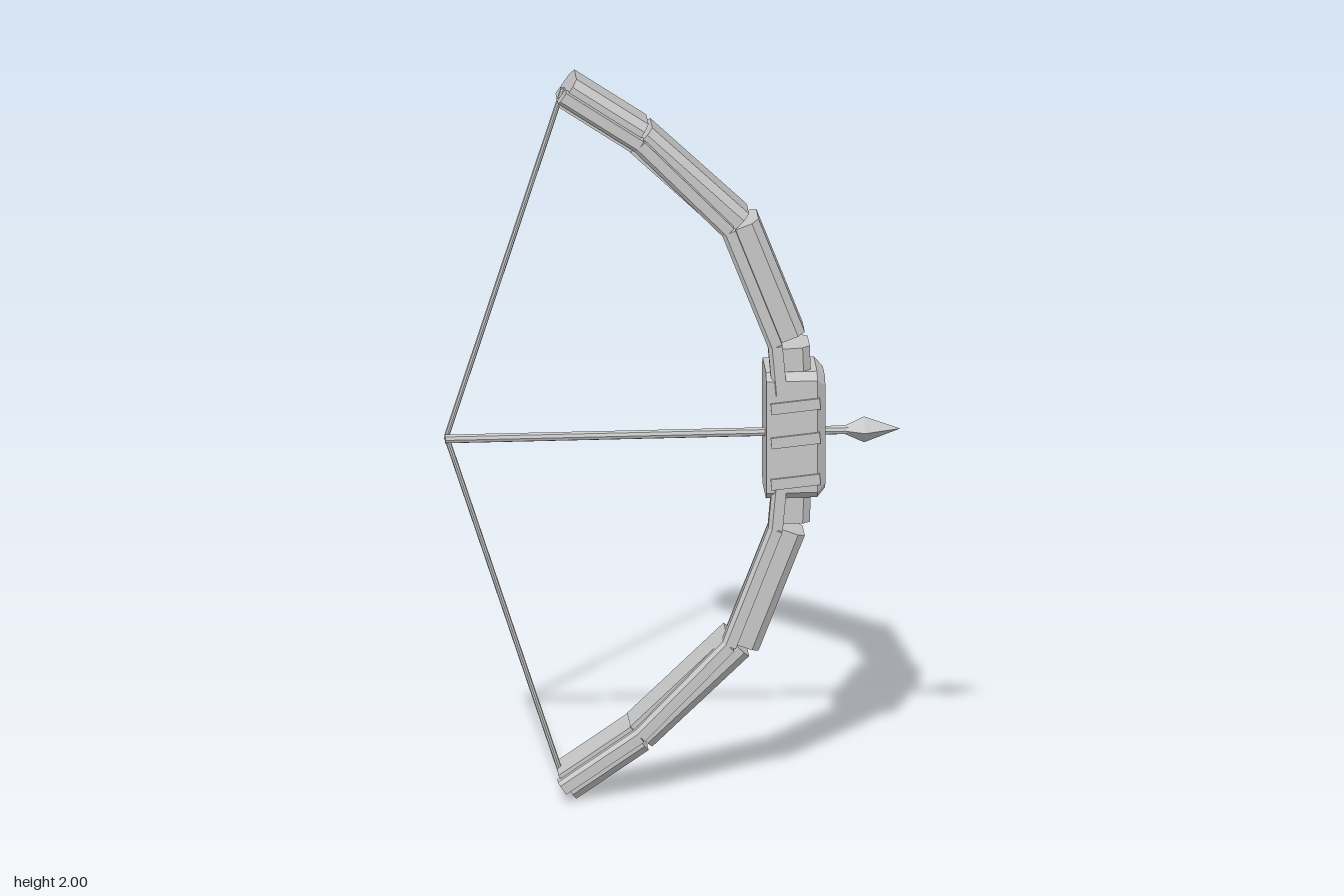
import * as THREE from 'three';
import { ConvexGeometry } from 'three/addons/geometries/ConvexGeometry.js';

const V = (x, y, z) => new THREE.Vector3(x, y, z);

export function createModel() {
  const group = new THREE.Group();
  group.name = 'bow';
  const grey = new THREE.MeshStandardMaterial({ color: 0xc8c8c8 });
  grey.name = 'grey';

  const add = (geometry, name) => {
    const mesh = new THREE.Mesh(geometry, grey);
    mesh.name = name;
    group.add(mesh);
    return mesh;
  };

  // Straight bar from a to b; section points are [inward offset, z]
  const bar = (a, b, section, side, name) => {
    const [dx, dy] = [b[0] - a[0], b[1] - a[1]];
    const len = Math.hypot(dx, dy);
    const points = [];
    for (const [x, y] of [a, b]) {
      for (const [s, z] of section) {
        points.push(V(x + s * dy / len, 1 + side * (y - s * dx / len - 1), z));
      }
    }
    return add(new ConvexGeometry(points), name);
  };

  // Round rod between two points
  const rod = (a, b, radius, name) => {
    const dir = b.clone().sub(a);
    const geo = new THREE.CylinderGeometry(radius, radius, dir.length(), 8).toNonIndexed();
    geo.computeVertexNormals();
    const mesh = add(geo, name);
    mesh.position.copy(a).add(b).multiplyScalar(0.5);
    mesh.quaternion.setFromUnitVectors(V(0, 1, 0), dir.normalize());
    return mesh;
  };

  // Limb plates: bevelled along the outer edges
  const plateSection = [[0, -0.04], [0, 0.04], [0.02, 0.057], [0.086, 0.057], [0.086, -0.057], [0.02, -0.057]];
  const plates = [
    [[-0.255, 2.0], [-0.065, 1.87]],
    [[-0.055, 1.86], [0.2, 1.615]],
    [[0.225, 1.6], [0.347, 1.283]],
    [[0.36, 1.245], [0.365, 1.12]],
  ];
  // Narrow rail along the front face of the limb
  const railSection = [[-0.018, 0.045], [-0.018, 0.08], [0.01, 0.08], [0.02, 0.07], [0.02, 0.045]];
  const railPath = [[-0.295, 1.96], [-0.09, 1.82], [0.145, 1.575], [0.268, 1.255], [0.28, 1.12]];

  for (const side of [1, -1]) {
    const prefix = side > 0 ? 'upper' : 'lower';
    plates.forEach(([a, b], i) => bar(a, b, plateSection, side, `${prefix}LimbPlate${i + 1}`));
    for (let i = 0; i < railPath.length - 1; i++) {
      bar(railPath[i], railPath[i + 1], railSection, side, `${prefix}LimbRail${i + 1}`);
    }
    rod(V(-0.595, 1, -0.003), V(-0.287, 1 + side * 0.962, -0.003), 0.007, `${prefix}String`);
  }

  // Grip block with cut corners and a bevelled outer face
  const gripPoints = [];
  for (const [x, inset] of [[0.243, 0], [0.378, 0], [0.4, 0.02]]) {
    const h = 0.175 - inset, d = 0.08 - inset, c = 0.02;
    for (const sy of [1, -1]) {
      for (const sz of [1, -1]) {
        gripPoints.push(V(x, 1.004 + sy * h, -0.002 + sz * (d - c)), V(x, 1.004 + sy * (h - c), -0.002 + sz * d));
      }
    }
  }
  add(new ConvexGeometry(gripPoints), 'grip');

  // Slanted ridges on both sides of the grip
  for (const y of [1.09, 0.995, 0.88]) {
    const ridge = add(new THREE.BoxGeometry(0.13, 0.03, 0.172), 'gripRidge');
    ridge.position.set(0.32, y, -0.002);
    ridge.rotation.z = 0.1;
  }

  // Arrow with a four-sided head
  rod(V(-0.6, 1, 0.016), V(0.47, 1, 0.016), 0.012, 'arrowShaft');
  const profile = [[0.012, 0], [0.036, 0.05], [0, 0.145]].map(([r, y]) => new THREE.Vector2(r, y));
  const headGeo = new THREE.LatheGeometry([new THREE.Vector2(0, 0), ...profile], 4).toNonIndexed();
  headGeo.computeVertexNormals();
  const head = add(headGeo, 'arrowHead');
  head.rotation.z = -Math.PI / 2;
  head.position.set(0.455, 1, 0.016);

  return group;
}
